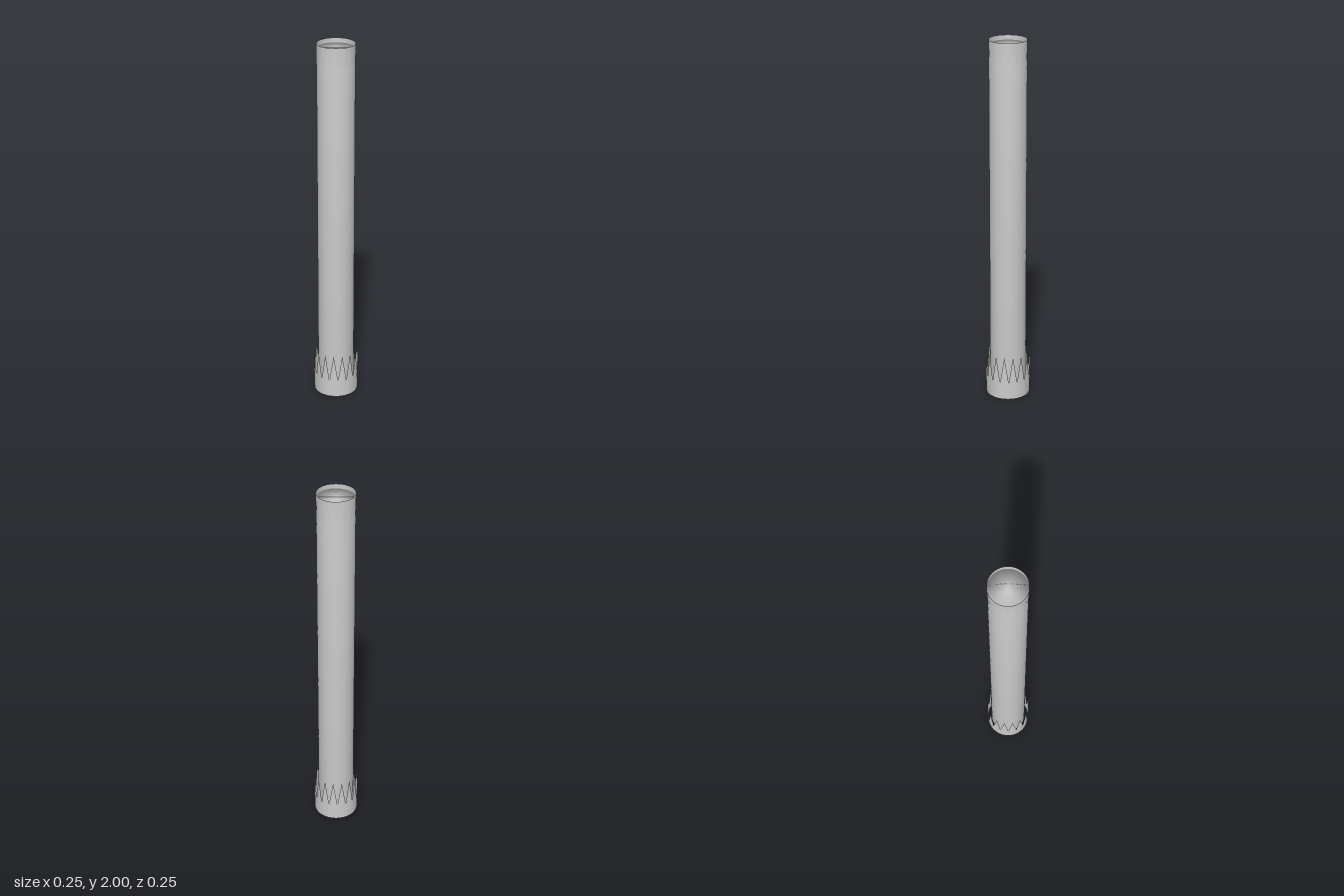
import * as THREE from 'three';

const TEETH = 16;

// Open thin sleeve whose lower and upper edges and radii follow rules of the tooth phase (0..1)
function toothedSleeve(name, material, rBottom, rTop, yBottom, yTop) {
  const perTooth = 12;
  const g = new THREE.CylinderGeometry(1, 1, 1, TEETH * perTooth, 1, true);
  const p = g.attributes.position;
  for (let i = 0; i < p.count; i++) {
    const phase = (i % (TEETH * perTooth + 1)) % perTooth / perTooth;
    const upper = p.getY(i) > 0;
    const r = upper ? rTop : rBottom;
    p.setXYZ(i, p.getX(i) * r, upper ? yTop(phase) : yBottom(phase), p.getZ(i) * r);
  }
  const mesh = new THREE.Mesh(g, material);
  mesh.name = name;
  return mesh;
}

export function createModel() {
  const group = new THREE.Group();
  group.name = 'column';
  const solid = new THREE.MeshStandardMaterial({ color: 0xcccccc });
  const sheet = new THREE.MeshStandardMaterial({ color: 0xcccccc, side: THREE.DoubleSide });

  // Closed shaft, its ends set slightly inside both sleeves, shaded smoothly over the rims
  const profile = [[0, 0.025], [0.099, 0.025], [0.099, 1.975], [0, 1.975]]
    .map(([x, y]) => new THREE.Vector2(x, y));
  const shaft = new THREE.Mesh(new THREE.LatheGeometry(profile, 64), solid);
  shaft.name = 'shaft';
  group.add(shaft);

  // Base collar with tall pointed teeth, a valley facing the front
  const spike = (t) => 0.1 + 0.157 * (1 - Math.abs(2 * t - 1));
  group.add(toothedSleeve('baseCollar', sheet, 0.121, 0.123, () => 0, spike));

  // Top band with short hanging teeth: rounded tips, pointed notches
  const scallop = (t) => 1.95 - 0.06 * Math.pow(Math.abs(Math.cos(Math.PI * t)), 1.2);
  group.add(toothedSleeve('topBand', sheet, 0.1, 0.1, scallop, () => 2));

  return group;
}
